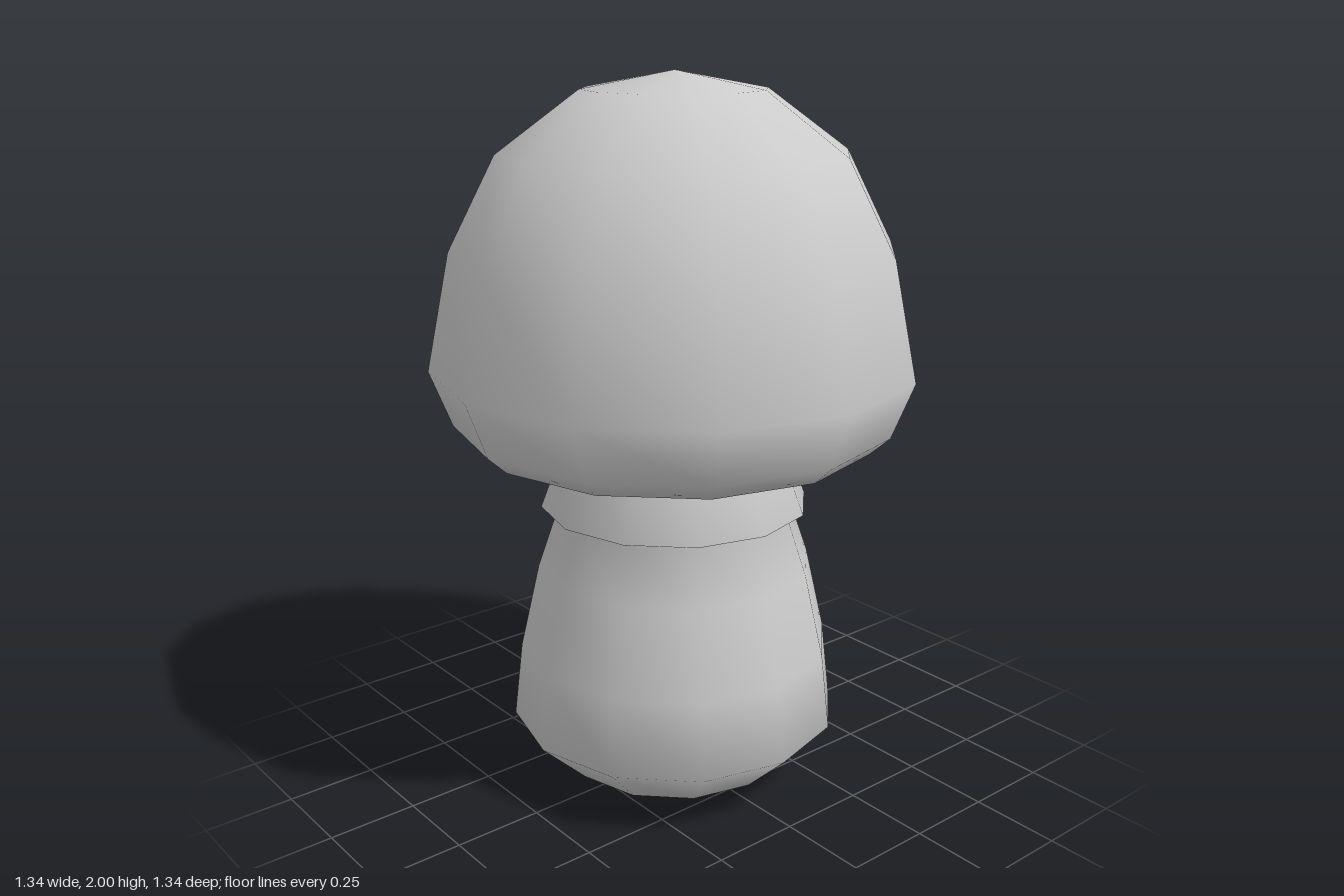
import * as THREE from 'three';

const SIDES = 12;

// Turn a profile of [radius, height] pairs, listed from the bottom up, around the y axis
function turned(name, profile, material) {
  const points = profile.map(([r, y]) => new THREE.Vector2(r, y));
  const mesh = new THREE.Mesh(new THREE.LatheGeometry(points, SIDES), material);
  mesh.name = name;
  return mesh;
}

export function createModel() {
  const group = new THREE.Group();
  group.name = 'mushroom';
  const material = new THREE.MeshStandardMaterial({ color: 0xcccccc });

  // Bulging stem with a flared collar under the cap
  group.add(turned('stemWithCollar', [
    [0, 0], [0.33, 0.05], [0.47, 0.185], [0.445, 0.4], [0.39, 0.64],
    [0.335, 0.8], [0.378, 0.818], [0.305, 1.01], [0.285, 1.06],
  ], material));

  // Domed cap with a rolled rim and a slightly hollow underside
  group.add(turned('cap', [
    [0, 1.055], [0.29, 1.04], [0.555, 1.015], [0.61, 1.065], [0.67, 1.22],
    [0.603, 1.54], [0.473, 1.79], [0.25, 1.953], [0, 2],
  ], material));

  return group;
}
